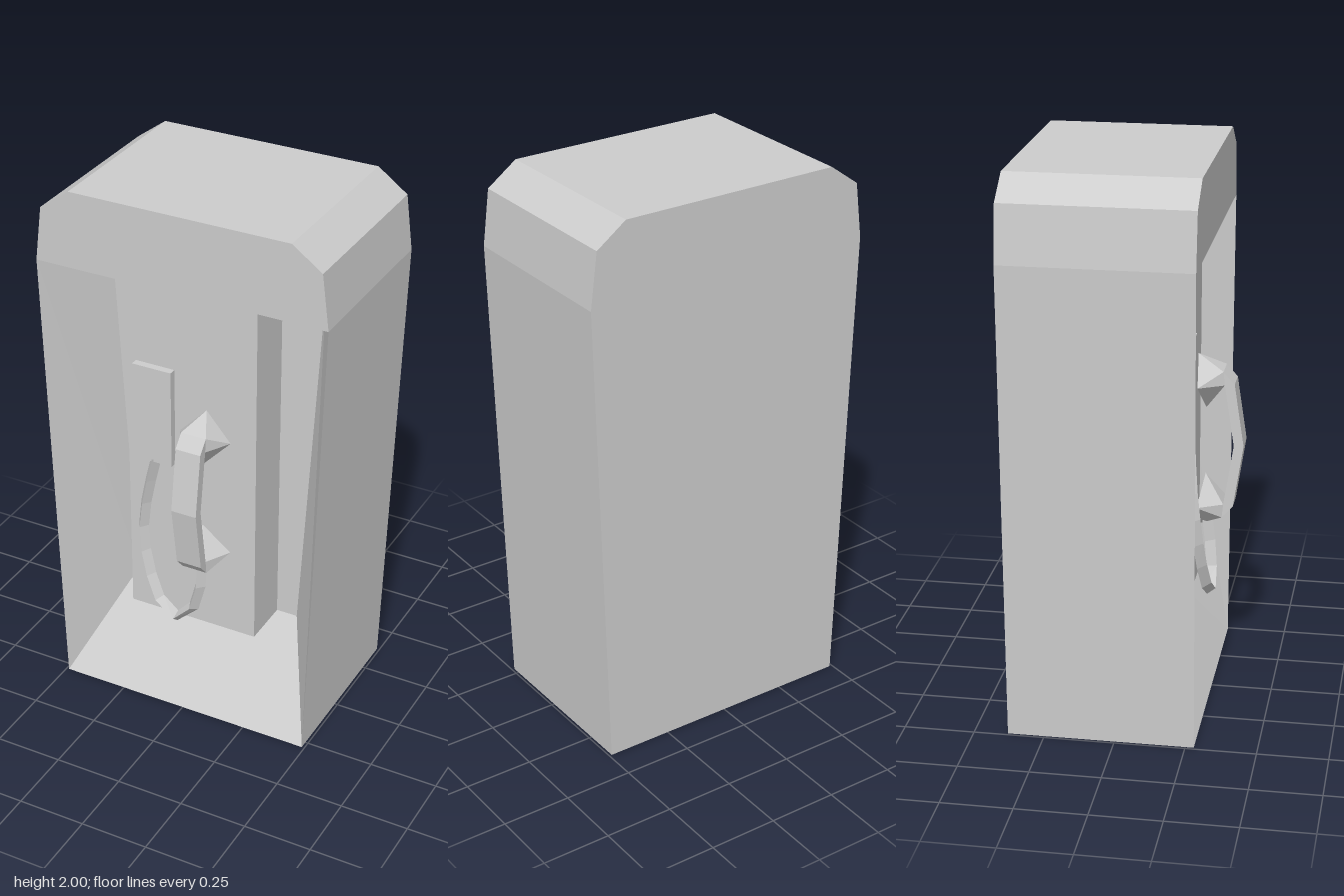
import * as THREE from 'three';
import { ConvexGeometry } from 'three/addons/geometries/ConvexGeometry.js';

// Flat polygons (corners counter-clockwise from outside), fanned into triangles
function facesGeometry(faces) {
  const pos = [];
  for (const f of faces) {
    for (let i = 1; i < f.length - 1; i++) pos.push(...f[0], ...f[i], ...f[i + 1]);
  }
  const g = new THREE.BufferGeometry();
  g.setAttribute('position', new THREE.Float32BufferAttribute(pos, 3));
  g.computeVertexNormals();
  return g;
}

export function createModel() {
  const group = new THREE.Group();
  const grey = new THREE.MeshStandardMaterial({ color: 0xcccccc, flatShading: true });
  grey.name = 'light grey';

  const add = (name, geometry, parent = group) => {
    const mesh = new THREE.Mesh(geometry, grey);
    mesh.name = name;
    parent.add(mesh);
    return mesh;
  };

  // Booth shell: tapered outline swept front to back, with a sloped recess in front
  const zf = 0.28, zb = -0.38, zr = 0.01, ceil = 1.72;
  const outline = [[-0.49, 0], [0.49, 0], [0.545, ceil], [0.52, 1.92], [0.41, 2],
    [-0.41, 2], [-0.52, 1.92], [-0.545, ceil]];
  const at = (z) => ([x, y]) => [x, y, z];
  const opening = [outline[0], outline[1], outline[2], outline[7]].map(at(zf));
  const recess = [[-0.33, 0.355], [0.33, 0.355], [0.41, ceil], [-0.41, ceil]].map(at(zr));
  const faces = [
    outline.slice(2).map(at(zf)),
    outline.map(at(zb)).reverse(),
    recess,
  ];
  outline.forEach((p, i) => {
    const q = outline[(i + 1) % outline.length];
    faces.push([at(zf)(p), at(zb)(p), at(zb)(q), at(zf)(q)]);
  });
  for (let i = 0; i < 4; i++) {
    const j = (i + 1) % 4;
    faces.push([opening[i], opening[j], recess[j], recess[i]]);
  }
  add('boothShell', facesGeometry(faces));

  // Raised back panel and the small plate on it
  add('backPanel', new THREE.BoxGeometry(0.5, ceil - 0.355, 0.185))
    .position.set(0, (ceil + 0.355) / 2, 0.1025);
  add('coinPlate', new THREE.BoxGeometry(0.15, 0.375, 0.03)).position.set(-0.14, 1.1875, 0.207);

  // Handset: bent bar with a faceted cup at each end
  const handset = new THREE.Group();
  handset.name = 'handset';
  group.add(handset);
  const profile = [[0.305, 1.21], [0.31, 1.16], [0.345, 0.935], [0.31, 0.71],
    [0.305, 0.66], [0.345, 0.705], [0.38, 0.935], [0.345, 1.165]];
  const bar = new THREE.ExtrudeGeometry(
    new THREE.Shape(profile.map(([z, y]) => new THREE.Vector2(z, y))),
    { depth: 0.095, bevelEnabled: false });
  bar.rotateY(-Math.PI / 2).translate(0.115, 0, 0);
  add('handle', bar, handset);

  const cup = [[0.02, 1.21, 0.305], [0.115, 1.21, 0.305], [0.115, 1.16, 0.31], [0.02, 1.16, 0.31],
    [0.0675, 1.26, 0.21], [0.165, 1.16, 0.22], [0.0675, 1.06, 0.24], [-0.03, 1.16, 0.22]];
  const cupGeometry = (flip) => new ConvexGeometry(
    cup.map(([x, y, z]) => new THREE.Vector3(x, flip ? 1.87 - y : y, z)));
  add('earCup', cupGeometry(false), handset);
  add('mouthCup', cupGeometry(true), handset);

  // Hanging cord from the plate to the mouth cup
  const path = new THREE.CatmullRomCurve3([
    [-0.14, 1.01, 0.205], [-0.175, 0.83, 0.22], [-0.18, 0.7, 0.235], [-0.15, 0.56, 0.25],
    [-0.1, 0.45, 0.265], [-0.035, 0.4, 0.27], [0.01, 0.415, 0.27], [0.055, 0.52, 0.26],
    [0.06, 0.65, 0.245],
  ].map((p) => new THREE.Vector3(...p)));
  add('cord', new THREE.TubeGeometry(path, 10, 0.023, 3));

  return group;
}
